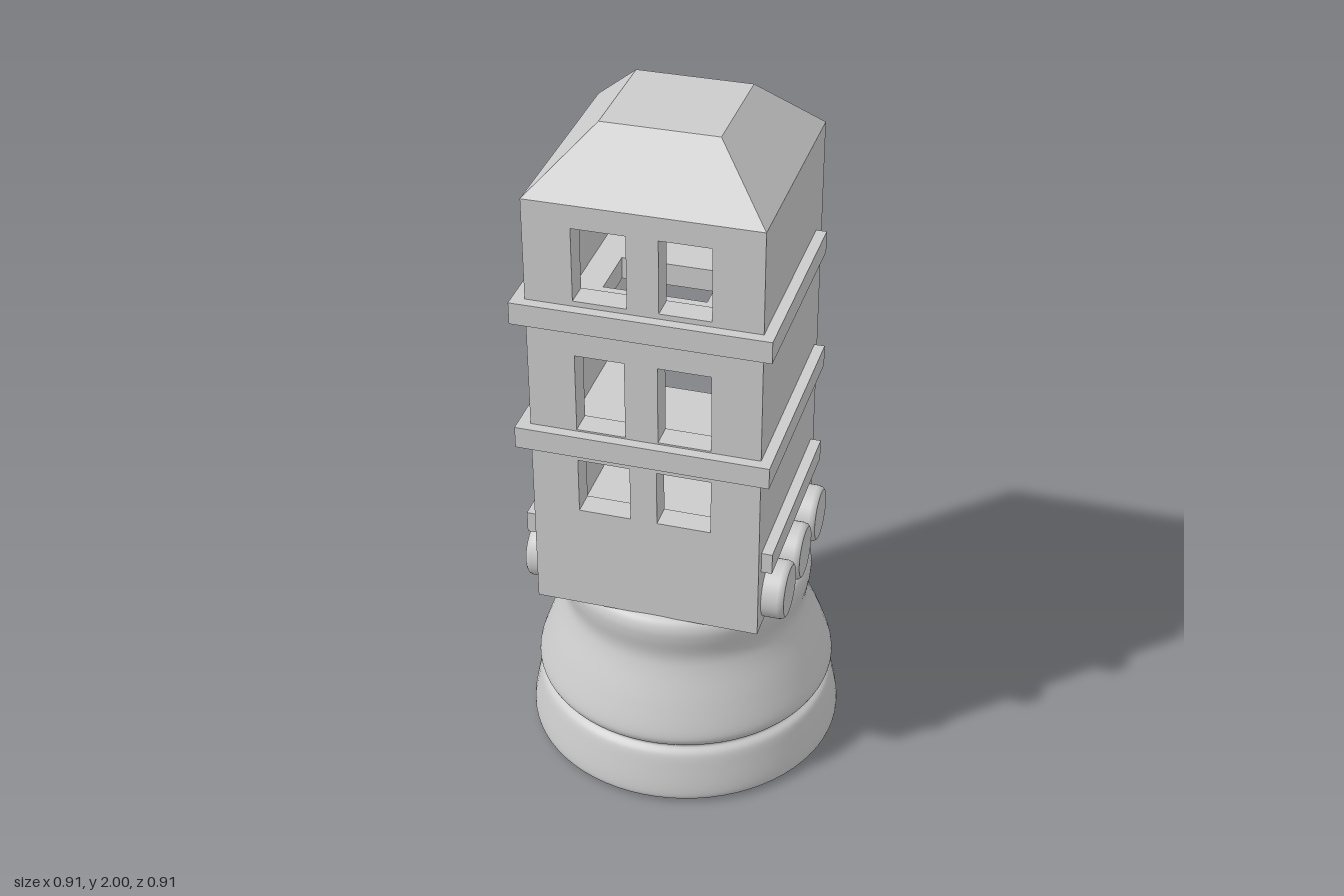
import * as THREE from 'three';

const CX = -0.0175, CZ = 0.0175; // tower centre, slightly off the pedestal axis
const X0 = -0.335, X1 = 0.3, Z0 = -0.3, Z1 = 0.335;
const BASE = 0.585, EAVES = 1.84;

const flat = new THREE.MeshStandardMaterial({ color: 0xcccccc, flatShading: true });
const smooth = new THREE.MeshStandardMaterial({ color: 0xcccccc });

function rectPoints(x0, x1, y0, y1) {
  return [[x0, y0], [x1, y0], [x1, y1], [x0, y1]].map(([x, y]) => new THREE.Vector2(x, y));
}

// Extruded outline with rectangular holes
function plate(outline, holes, depth) {
  const shape = new THREE.Shape(outline);
  for (const h of holes) shape.holes.push(new THREE.Path(rectPoints(...h)));
  return new THREE.ExtrudeGeometry(shape, { depth, bevelEnabled: false });
}

function add(parent, name, geometry, material = flat) {
  const mesh = new THREE.Mesh(geometry, material);
  mesh.name = name;
  parent.add(mesh);
  return mesh;
}

export function createModel() {
  const model = new THREE.Group();
  model.name = 'towerOnPedestal';

  // Turned outer surface of the pedestal
  const outer = new THREE.SplineCurve([
    [0.437, 0.004], [0.455, 0.018], [0.456, 0.05], [0.445, 0.11], [0.432, 0.16],
    [0.412, 0.18], [0.43, 0.202], [0.434, 0.235], [0.404, 0.32], [0.366, 0.41],
    [0.355, 0.46], [0.364, 0.52], [0.364, 0.555], [0.35, 0.58], [0.32, 0.592],
  ].map(([r, y]) => new THREE.Vector2(r, y)));
  add(model, 'pedestal', new THREE.LatheGeometry(
    [...outer.getPoints(70), new THREE.Vector2(0, 0.595)], 72), smooth);

  // Flat foot ring and hollow core
  const foot = add(model, 'pedestalFoot', new THREE.RingGeometry(0.31, 0.437, 72).rotateX(Math.PI / 2));
  foot.position.y = 0.002;
  const coreMaterial = smooth.clone();
  coreMaterial.side = THREE.DoubleSide;
  const core = add(model, 'pedestalCore',
    new THREE.CylinderGeometry(0.31, 0.31, 0.54, 72, 1, true), coreMaterial);
  core.position.y = 0.272;
  const coreTop = add(model, 'pedestalCoreTop', new THREE.CircleGeometry(0.31, 72).rotateX(Math.PI / 2));
  coreTop.position.y = 0.54;

  // Hollow tower shell, open at the back
  const wall = 0.07;
  const outline = rectPoints(X0, X1, BASE, EAVES);
  const shell = add(model, 'towerShell',
    plate(outline, [[-0.235, 0.215, 0.62, 1.78]], Z1 - wall - Z0));
  shell.position.z = Z0;

  // Front wall with three rows of paired windows
  const windows = [
    [-0.205, -0.06, 1.565, 1.775], [0.025, 0.165, 1.565, 1.775],
    [-0.205, -0.07, 1.17, 1.4], [0.02, 0.165, 1.17, 1.4],
    [-0.205, -0.06, 0.905, 1.07], [0.015, 0.165, 0.905, 1.07],
  ];
  const front = add(model, 'frontWall', plate(outline, windows, wall));
  front.position.z = Z1 - wall;

  // Roof: truncated pyramid
  const roof = add(model, 'roof', new THREE.CylinderGeometry(
    0.159 * Math.SQRT2, 0.3175 * Math.SQRT2, 2 - EAVES, 4).rotateY(Math.PI / 4));
  roof.position.set(CX, (2 + EAVES) / 2, CZ);

  // Floor slabs run through the walls and show outside as ledges
  const L = -0.37, R = 0.33;
  const notched = [
    [L, -0.265], [-0.06, -0.265], [-0.06, -0.12], [0.07, -0.12],
    [0.07, -0.265], [R, -0.265], [R, 0.305], [L, 0.305],
  ].map(([x, z]) => new THREE.Vector2(x, z));
  const floors = [
    ['upperFloor', 1.55, rectPoints(L, R, -0.23, 0.365), [[-0.16, 0.12, 0.06, 0.22]]],
    ['middleFloor', 1.165, rectPoints(L, R, -0.265, 0.365), [[-0.11, 0.09, -0.135, 0.06]]],
    ['lowerFloor', 0.842, notched, []],
  ];
  for (const [name, top, edge, holes] of floors) {
    const slab = add(model, name, plate(edge, holes, 0.063).rotateX(Math.PI / 2));
    slab.position.y = top;
  }

  // Three round bosses on each side
  const bossProfile = [[0.083, 0], [0.083, 0.095], [0.08, 0.106], [0.073, 0.112]]
    .map(([r, y]) => new THREE.Vector2(r, y));
  const bossGeometry = new THREE.LatheGeometry(bossProfile, 40);
  const capGeometry = new THREE.CircleGeometry(0.073, 40).rotateX(-Math.PI / 2).translate(0, 0.112, 0);
  for (const side of [-1, 1]) {
    for (const z of [-0.15, 0.037, 0.22]) {
      const boss = new THREE.Group();
      boss.name = side > 0 ? 'leftBoss' : 'rightBoss';
      add(boss, 'bossRim', bossGeometry, smooth);
      add(boss, 'bossCap', capGeometry);
      boss.position.set(side > 0 ? 0.25 : -0.273, 0.665, z);
      boss.rotation.z = -side * Math.PI / 2;
      model.add(boss);
    }
  }
  return model;
}
